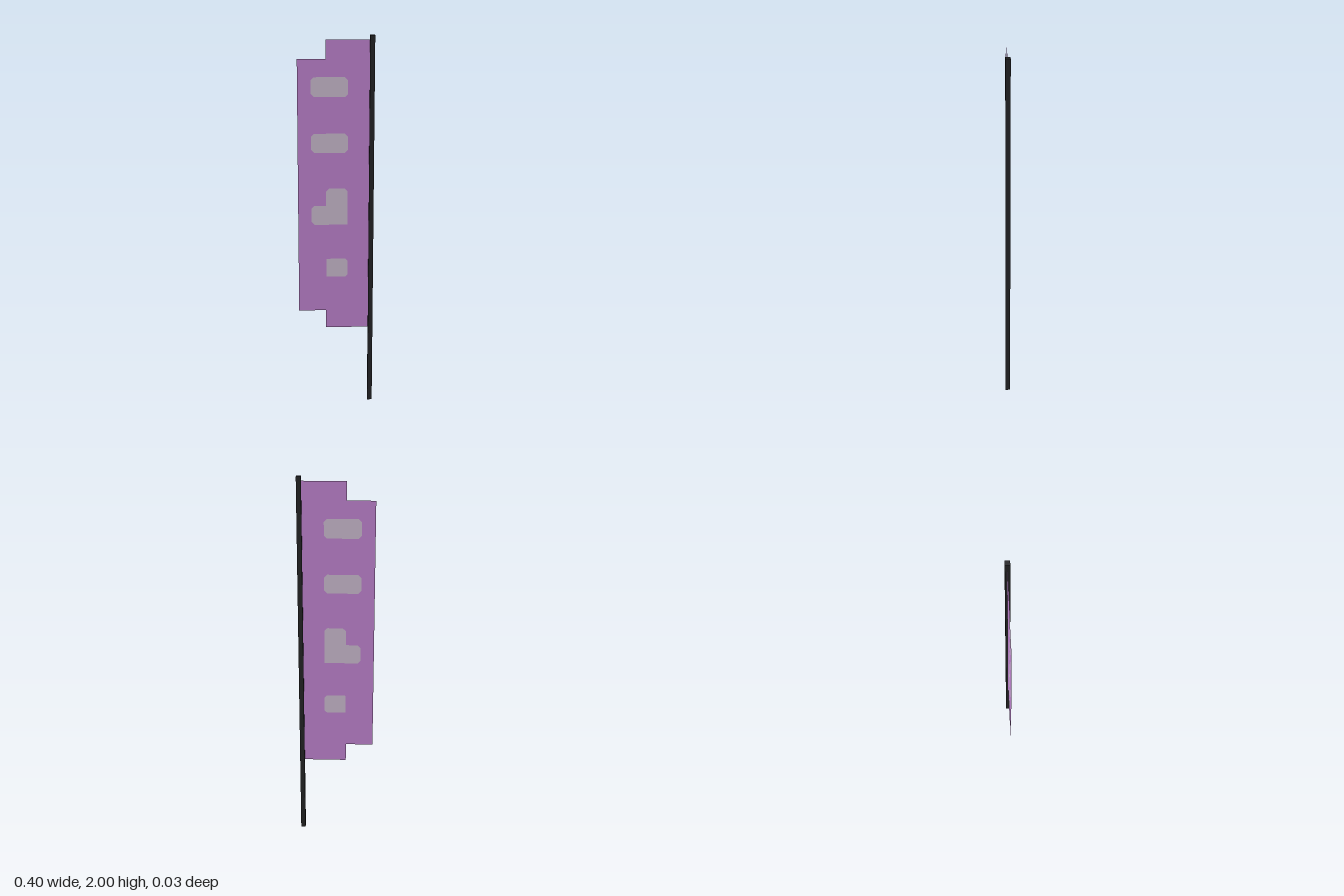
import * as THREE from 'three';

const mat = (name, color, side = THREE.FrontSide) => {
  const m = new THREE.MeshStandardMaterial({ color, side });
  m.name = name;
  return m;
};

const polygon = (points) => points.map(([x, y]) => new THREE.Vector2(x, y));

// Rectangle with small cut corners; the left corners can stay square
function chamferedBox(x0, x1, y0, y1, c = 0.016, left = c) {
  return [
    [x0 + left, y0], [x1 - c, y0], [x1, y0 + c], [x1, y1 - c],
    [x1 - c, y1], [x0 + left, y1], [x0, y1 - left], [x0, y0 + left],
  ];
}

export function createModel() {
  const group = new THREE.Group();
  group.name = 'bannerFlag';
  const black = mat('poleBlack', 0x222224);
  const purple = mat('clothPurple', 0xbb80cb, THREE.DoubleSide);
  const grey = mat('patchGrey', 0xc5b6c9, THREE.DoubleSide);

  const add = (name, geometry, material) => {
    const mesh = new THREE.Mesh(geometry, material);
    mesh.name = name;
    group.add(mesh);
    return mesh;
  };

  // Square pole
  add('pole', new THREE.BoxGeometry(0.025, 2, 0.025), black).position.set(0.1875, 1, 0);

  // Pale patches running down the cloth
  const patches = [
    chamferedBox(-0.13, 0.063, 1.685, 1.787),
    chamferedBox(-0.13, 0.063, 1.394, 1.495),
    [
      [-0.114, 1.006], [0.063, 1.006], [0.063, 1.187], [0.047, 1.203], [-0.035, 1.203],
      [-0.051, 1.187], [-0.051, 1.109], [-0.114, 1.109], [-0.13, 1.093], [-0.13, 1.022],
    ],
    chamferedBox(-0.051, 0.063, 0.716, 0.817, 0.012, 0.004),
  ].map(polygon);

  // Stepped cloth, cut out where the patches sit
  const cloth = new THREE.Shape(polygon([
    [-0.2, 0.525], [-0.053, 0.525], [-0.053, 0.427], [0.176, 0.427],
    [0.176, 1.977], [-0.053, 1.977], [-0.053, 1.88], [-0.2, 1.88],
  ]));
  cloth.holes = patches.map((p) => new THREE.Path(p));
  add('cloth', new THREE.ShapeGeometry(cloth), purple);

  // Patches fill the cut-outs and show on both sides
  patches.forEach((p, i) => add(`patch${i + 1}`, new THREE.ShapeGeometry(new THREE.Shape(p)), grey));

  return group;
}
